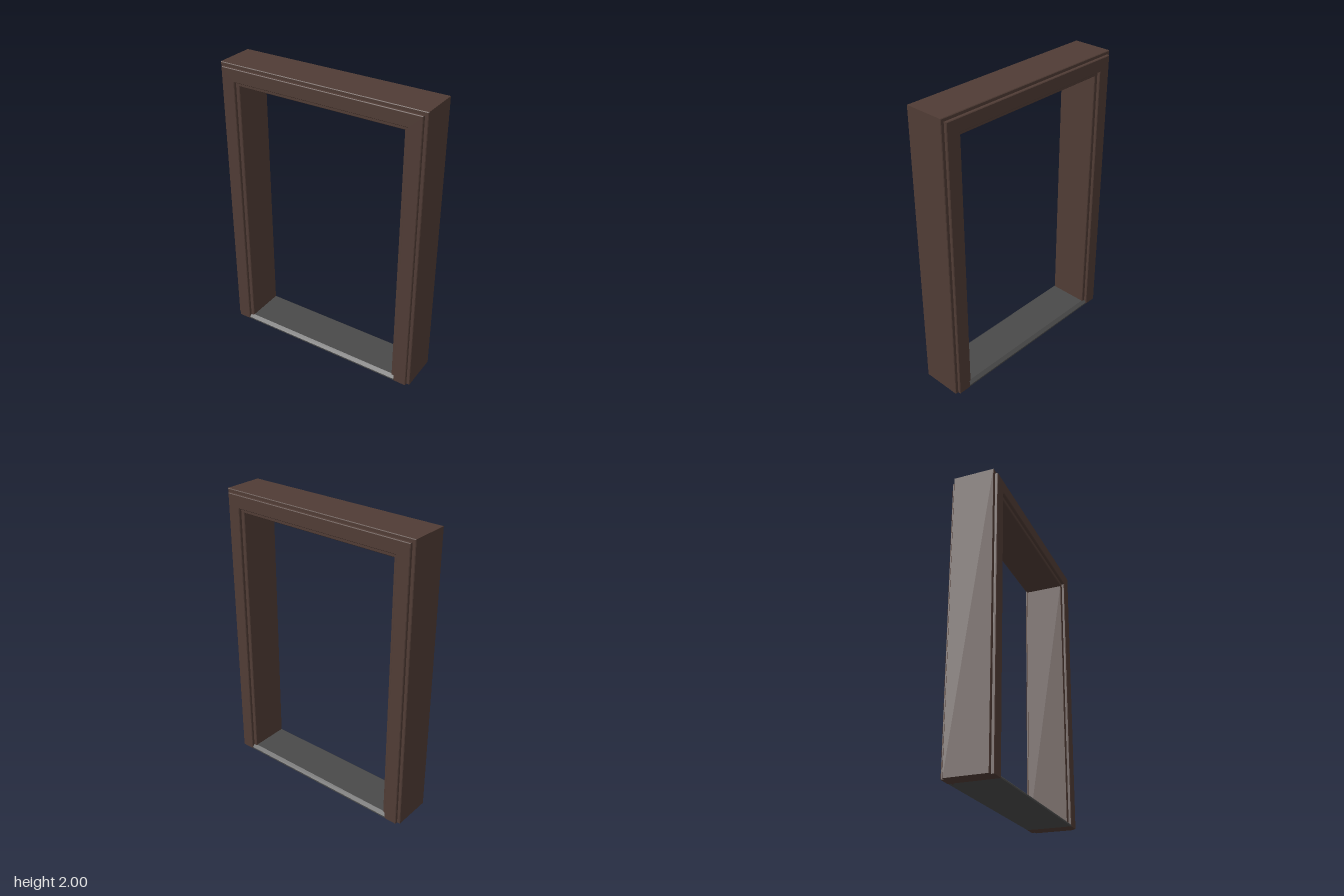
import * as THREE from 'three';

const wood = new THREE.MeshStandardMaterial({ color: 0x503c35 });
wood.name = 'dark brown wood';
const stone = new THREE.MeshStandardMaterial({ color: 0x4a4a4a });
stone.name = 'dark grey sill';

// Upside-down U: two posts joined by a head, with slightly bevelled edges and a flat foot
function archFrame(name, outerX, outerY, innerX, innerY, z0, z1, bevel) {
  const foot = -0.05;
  const shape = new THREE.Shape([
    [-outerX, foot], [-innerX, foot], [-innerX, innerY], [innerX, innerY],
    [innerX, foot], [outerX, foot], [outerX, outerY], [-outerX, outerY],
  ].map(([x, y]) => new THREE.Vector2(x, y)));
  const geometry = new THREE.ExtrudeGeometry(shape, {
    depth: z1 - z0 - 2 * bevel, bevelEnabled: true, bevelSegments: 1,
    bevelThickness: bevel, bevelSize: bevel, bevelOffset: -bevel,
  });
  geometry.translate(0, 0, z0 + bevel);
  // Cut the feet level with the floor
  const p = geometry.attributes.position;
  for (let i = 0; i < p.count; i++) p.setY(i, Math.max(0, p.getY(i)));
  geometry.computeVertexNormals();
  const mesh = new THREE.Mesh(geometry, wood);
  mesh.name = name;
  return mesh;
}

export function createModel() {
  const group = new THREE.Group();
  group.name = 'doorFrame';

  // Deep jamb lining, then raised casings on both faces
  group.add(archFrame('jamb', 0.732, 2, 0.592, 1.86, -0.14, 0.14, 0.004));
  group.add(archFrame('frontCasing', 0.71, 1.978, 0.618, 1.888, 0.13, 0.16, 0.004));
  group.add(archFrame('backCasing', 0.71, 1.978, 0.618, 1.888, -0.16, -0.13, 0.004));

  // Threshold with sloped front and back lips
  const profile = new THREE.Shape([
    [-0.158, 0], [0.158, 0], [0.158, 0.01], [0.135, 0.03], [-0.135, 0.03], [-0.158, 0.01],
  ].map(([z, y]) => new THREE.Vector2(z, y)));
  const sillGeometry = new THREE.ExtrudeGeometry(profile, { depth: 1.236, bevelEnabled: false });
  sillGeometry.translate(0, 0, -0.618);
  sillGeometry.rotateY(Math.PI / 2);
  const sill = new THREE.Mesh(sillGeometry, stone);
  sill.name = 'threshold';
  group.add(sill);

  return group;
}
